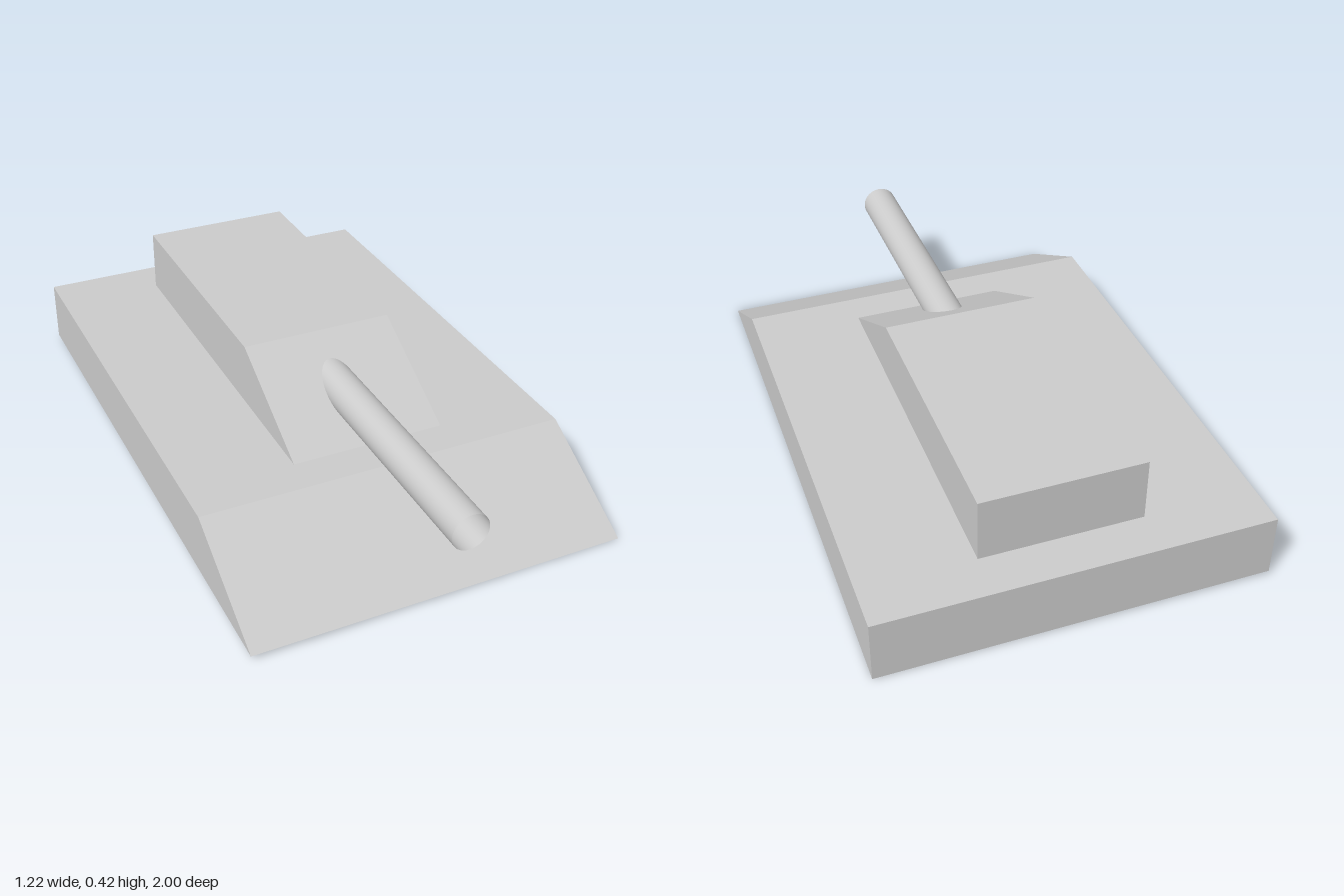
import * as THREE from 'three';

const grey = new THREE.MeshStandardMaterial({ color: 0xcccccc });
const thin = new THREE.MeshStandardMaterial({ color: 0xcccccc, side: THREE.DoubleSide });

// Side profile given as [z, y] points, extruded across x
function wedge(name, profile, width) {
  const shape = new THREE.Shape(profile.map(([z, y]) => new THREE.Vector2(z, y)));
  const geometry = new THREE.ExtrudeGeometry(shape, { depth: width, bevelEnabled: false });
  geometry.translate(0, 0, -width / 2).rotateY(-Math.PI / 2);
  const mesh = new THREE.Mesh(geometry, grey);
  mesh.name = name;
  return mesh;
}

export function createModel() {
  const model = new THREE.Group();
  model.name = 'tank';

  // Whole body leans very slightly to one side
  const body = new THREE.Group();
  body.name = 'body';
  body.rotation.z = -0.011;
  body.position.y = 0.0067;
  model.add(body);

  // Hull and turret, both with a sloped front
  body.add(wedge('hull', [[-1, 0], [0.9, 0], [0.52, 0.207], [-1, 0.207]], 1.22));
  body.add(wedge('turret', [[-0.86, 0.207], [0.4, 0.207], [0.02, 0.414], [-0.86, 0.414]], 0.51));

  // Open gun tube, rooted inside the turret
  const tube = new THREE.CylinderGeometry(0.06, 0.06, 1, 48, 1, true);
  tube.rotateX(Math.PI / 2);
  const barrel = new THREE.Mesh(tube, thin);
  barrel.name = 'barrel';
  barrel.position.set(0, 0.302, 0.5);
  body.add(barrel);

  return model;
}
